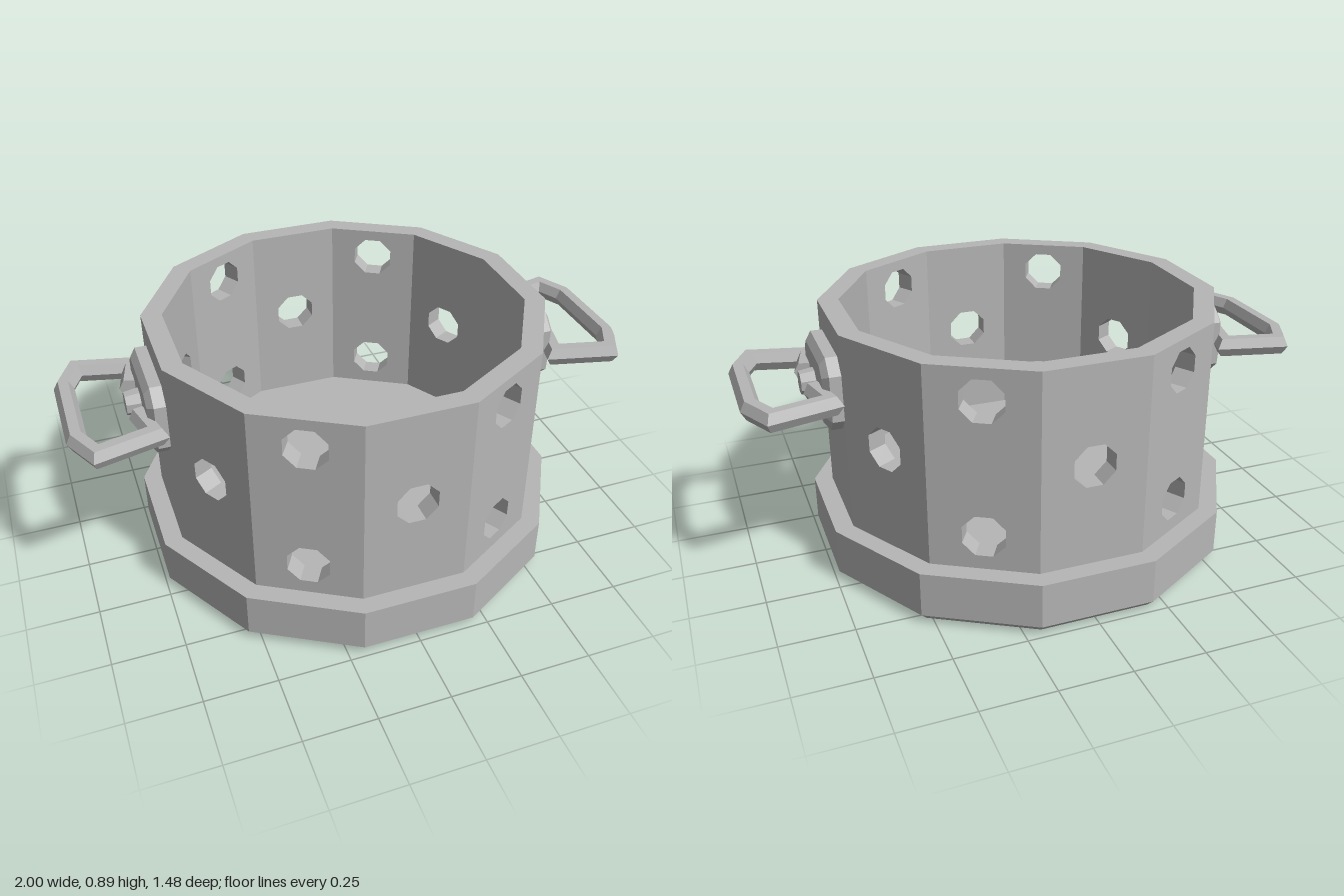
import * as THREE from 'three';

const SIDES = 12;
const WALL_OUT = 0.675, WALL_IN = 0.605; // distances from the axis to the flat faces
const WALL_BOTTOM = 0.15, WALL_TOP = 0.89;
const HANDLE_Y = 0.67;

const grey = new THREE.MeshStandardMaterial({ color: 0xb6b6b6, flatShading: true });
grey.name = 'grey';

function mesh(name, geometry) {
  const m = new THREE.Mesh(geometry, grey);
  m.name = name;
  return m;
}

// Flat wall panel with octagonal holes, mitred to meet its neighbours
function wallPanel(holeHeights) {
  const half = WALL_OUT * Math.tan(Math.PI / SIDES);
  const shape = new THREE.Shape([
    new THREE.Vector2(-half, WALL_BOTTOM), new THREE.Vector2(half, WALL_BOTTOM),
    new THREE.Vector2(half, WALL_TOP), new THREE.Vector2(-half, WALL_TOP),
  ]);
  for (const y of holeHeights) {
    const ring = [];
    for (let i = 0; i < 8; i++) {
      const a = -(i + 0.5) * Math.PI / 4;
      ring.push(new THREE.Vector2(Math.cos(a) * 0.077, y + Math.sin(a) * 0.077));
    }
    shape.holes.push(new THREE.Path(ring));
  }
  const depth = WALL_OUT - WALL_IN;
  const g = new THREE.ExtrudeGeometry(shape, { depth, bevelEnabled: false });
  g.translate(0, 0, WALL_IN);
  const p = g.attributes.position;
  for (let i = 0; i < p.count; i++) {
    if (Math.abs(p.getX(i)) > half - 0.001) p.setX(i, p.getX(i) * p.getZ(i) / WALL_OUT);
  }
  g.computeVertexNormals();
  return g;
}

// Bevelled mounting plate with cut corners
function plateGeometry() {
  const w = 0.18, h = 0.13, c = 0.05;
  const pts = [[w, -h + c], [w, h - c], [w - c, h], [-w + c, h], [-w, h - c], [-w, -h + c], [-w + c, -h], [w - c, -h]];
  const shape = new THREE.Shape(pts.map(([x, y]) => new THREE.Vector2(x, y)));
  const g = new THREE.ExtrudeGeometry(shape, {
    depth: 0.065, bevelEnabled: true, bevelSegments: 1,
    bevelThickness: 0.02, bevelSize: 0.028, bevelOffset: -0.028,
  });
  return g.translate(0, 0, 0.65).rotateY(Math.PI / 2);
}

// Six-sided bar swept along a horizontal path with mitred corners
function barGeometry(path, ru, rv) {
  const verts = [], index = [], n = 6;
  const dir = (a, b) => new THREE.Vector2().subVectors(b, a).normalize();
  path.forEach((p, i) => {
    const d0 = i > 0 ? dir(path[i - 1], p) : dir(p, path[i + 1]);
    const d1 = i < path.length - 1 ? dir(p, path[i + 1]) : d0;
    const n0 = new THREE.Vector2(d0.y, -d0.x);
    const n1 = new THREE.Vector2(d1.y, -d1.x);
    const mitre = n0.clone().add(n1).normalize();
    const stretch = Math.min(1 / mitre.dot(n0), 1.6);
    for (let k = 0; k < n; k++) {
      const a = k * Math.PI * 2 / n;
      const u = Math.cos(a) * ru * stretch;
      verts.push(p.x + mitre.x * u, Math.sin(a) * rv, p.y + mitre.y * u);
    }
  });
  for (let i = 0; i < path.length - 1; i++) {
    for (let k = 0; k < n; k++) {
      const a = i * n + k, b = i * n + (k + 1) % n;
      index.push(a, b, a + n, b, b + n, a + n);
    }
  }
  // End caps
  const last = (path.length - 1) * n;
  for (let k = 1; k < n - 1; k++) {
    index.push(0, k + 1, k, last, last + k, last + k + 1);
  }
  const g = new THREE.BufferGeometry();
  g.setAttribute('position', new THREE.Float32BufferAttribute(verts, 3));
  g.setIndex(index);
  const flat = g.toNonIndexed();
  flat.computeVertexNormals();
  return flat;
}

// Plate, knob and hooked ring for the +x side
function handleAssembly(name) {
  const group = new THREE.Group();
  group.name = name;

  const plate = mesh('handlePlate', plateGeometry());
  plate.position.y = HANDLE_Y;

  const knobShape = new THREE.CylinderGeometry(0.04, 0.052, 0.085, 8);
  knobShape.rotateY(Math.PI / 8).rotateZ(-Math.PI / 2);
  const knob = mesh('handleKnob', knobShape);
  knob.position.set(0.7425, HANDLE_Y, 0);

  const halfPath = [[0.755, 0.085], [0.723, 0.213], [0.915, 0.26], [0.966, 0.157]];
  const path = [
    ...halfPath.map(([x, z]) => new THREE.Vector2(x, z)),
    ...halfPath.slice().reverse().map(([x, z]) => new THREE.Vector2(x, -z)),
  ];
  const ring = mesh('handleRing', barGeometry(path, 0.034, 0.038));
  ring.position.y = HANDLE_Y;

  group.add(plate, knob, ring);
  return group;
}

export function createModel() {
  const model = new THREE.Group();
  model.name = 'perforatedPot';

  // Solid base with a chamfered lower edge
  const profile = [[0, 0], [0.735, 0], [0.765, 0.03], [0.765, 0.19], [0, 0.19]]
    .map(([r, y]) => new THREE.Vector2(r, y));
  model.add(mesh('base', new THREE.LatheGeometry(profile, SIDES, Math.PI / SIDES)));

  // Wall: panels alternate between one and two holes, with none behind the handles
  const wall = new THREE.Group();
  wall.name = 'wall';
  for (let i = 0; i < SIDES; i++) {
    const holes = i % 6 === 3 ? [] : i % 2 ? [0.31, 0.78] : [0.545];
    const panel = mesh('wallPanel', wallPanel(holes));
    panel.rotation.y = i * Math.PI * 2 / SIDES;
    wall.add(panel);
  }
  model.add(wall);

  // Handles on both sides
  const left = handleAssembly('leftHandle');
  const right = handleAssembly('rightHandle');
  right.rotation.y = Math.PI;
  model.add(left, right);

  return model;
}
